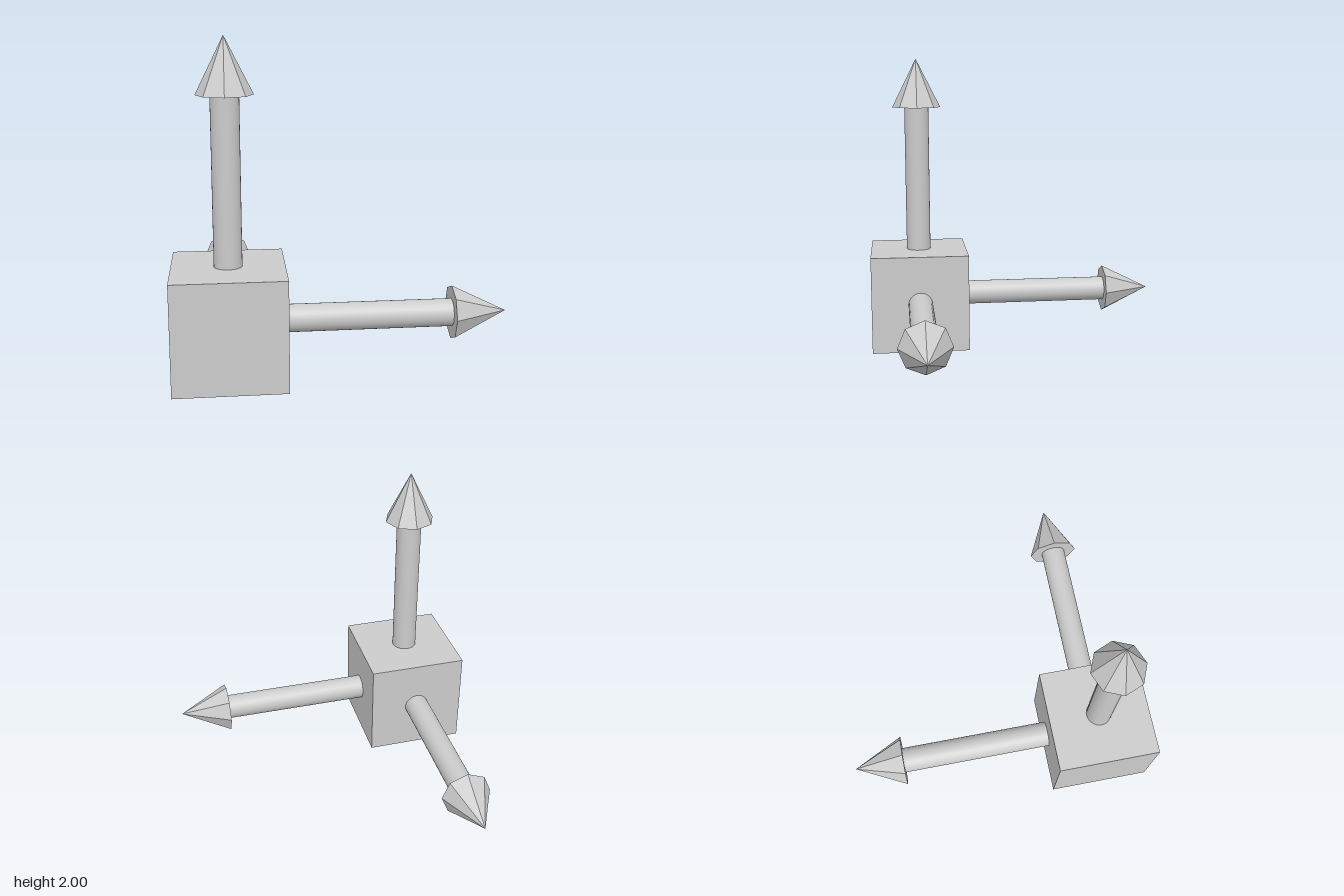
import * as THREE from 'three';

const U = 1 / 3; // half the cube's side

export function createModel() {
  const model = new THREE.Group();
  model.name = 'axisMarker';
  const flat = new THREE.MeshStandardMaterial({ color: 0xcccccc, flatShading: true });
  const smooth = new THREE.MeshStandardMaterial({ color: 0xcccccc });

  const add = (parent, name, geometry, material, y = 0) => {
    const mesh = new THREE.Mesh(geometry, material);
    mesh.name = name;
    mesh.position.y = y;
    parent.add(mesh);
  };

  // Cube at the origin of the three arrows
  add(model, 'cube', new THREE.BoxGeometry(2 * U, 2 * U, 2 * U), flat);

  // Arrow pointing along +y: round shaft from the cube's face, eight-sided head
  const shaft = new THREE.CylinderGeometry(U / 4, U / 4, 3 * U, 32);
  const head = new THREE.ConeGeometry(U / 2, U, 8);
  const addArrow = (name, rx, rz) => {
    const arrow = new THREE.Group();
    arrow.name = name;
    add(arrow, 'shaft', shaft, smooth, 2.5 * U);
    add(arrow, 'arrowHead', head, flat, 4.5 * U);
    arrow.rotation.set(rx, 0, rz);
    model.add(arrow);
  };
  addArrow('upArrow', 0, 0);
  addArrow('leftArrow', 0, -Math.PI / 2);
  addArrow('backArrow', -Math.PI / 2, 0);

  model.position.set(-2 * U, U, 2 * U);
  const root = new THREE.Group();
  root.name = 'model';
  root.add(model);
  return root;
}
